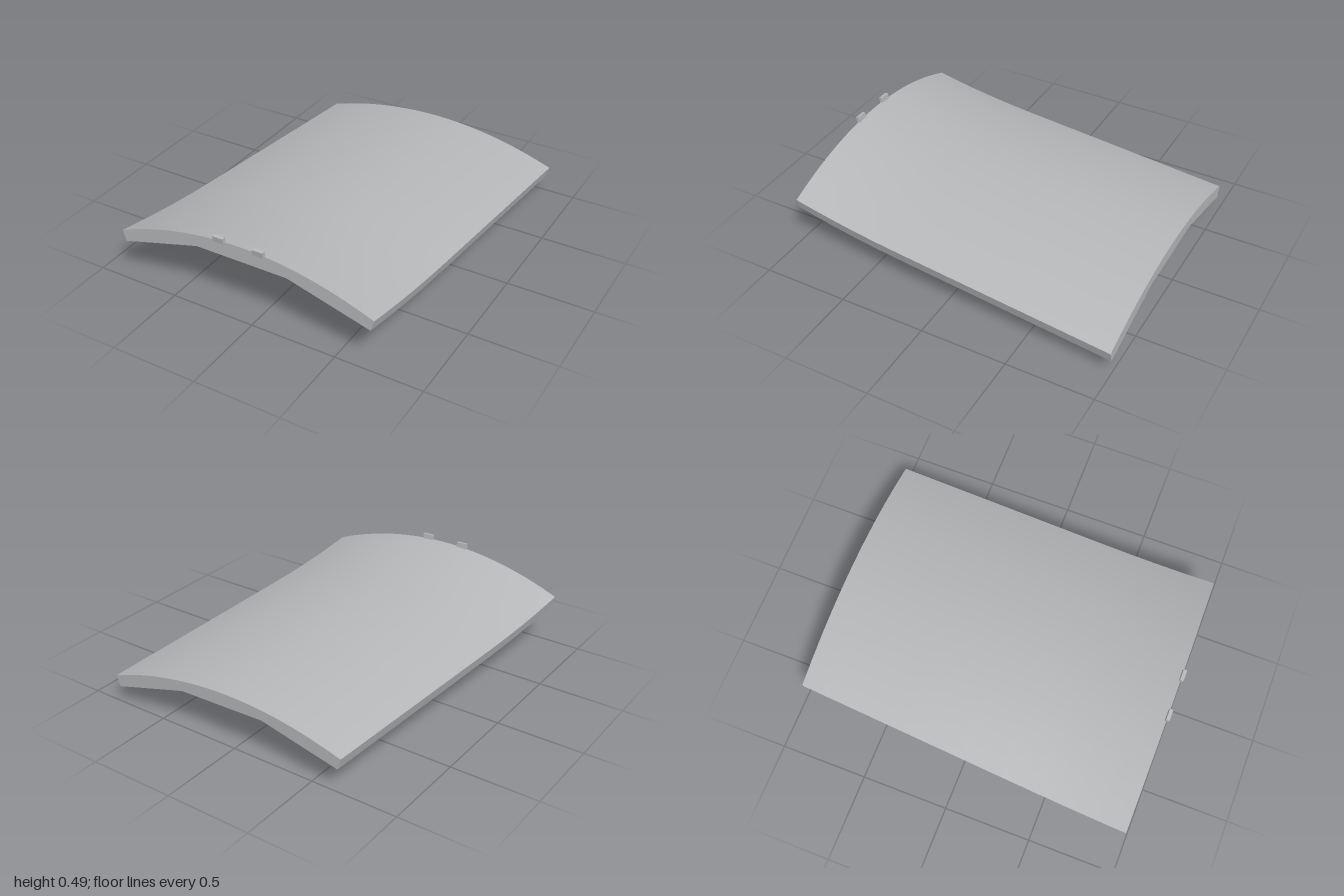
import * as THREE from 'three';

const lerp = THREE.MathUtils.lerp;
const KNOT = 0.355;   // where the underside folds
const DEPTH = 0.045;  // pocket depth
const Z = [0.985, 0.87, 0.75, 0.6, 0.45, 0.25, 0, -0.24, -0.36, -0.87, -1];

// Outer skin: skewed, arched across u (-1..1), drooping along z
function top(u, z) {
  const t = (0.985 - z) / 1.985, f = (u + 1) / 2;
  const right = 0.16 + 0.0533 * (z + 1) + 0.039 * Math.max(0, (z - 0.3) / 0.685) ** 2;
  const left = right + 0.038 * t;
  const sag = lerp(0.16, 0.131, t);
  return new THREE.Vector3(
    lerp(lerp(-0.83, -0.675, t), lerp(0.715, 0.83, t), f),
    lerp(left, right, f) + sag * (1 - u * u), z);
}

// Underside: three flat facets, optionally raised into a pocket
function under(u, z, raise = 0) {
  const t = (0.985 - z) / 1.985;
  const corner = (s) => {
    const edge = Math.abs(s) === 1;
    const p = top(edge ? s * 0.975 : s, z);
    p.y = top(s, z).y - (edge ? 0.065 : lerp(0.07, 0.06, t));
    return p;
  };
  const [a, b] = u < -KNOT ? [-1, -KNOT] : u > KNOT ? [KNOT, 1] : [-KNOT, KNOT];
  const p = corner(a).lerp(corner(b), (u - a) / (b - a));
  p.y += raise;
  return p;
}

// Mesh from a list of quads; flat normals
function quadMesh(name, quads, material) {
  const pos = [];
  for (const [a, b, c, d] of quads) {
    for (const p of [a, b, c, a, c, d]) pos.push(p.x, p.y, p.z);
  }
  const geo = new THREE.BufferGeometry();
  geo.setAttribute('position', new THREE.Float32BufferAttribute(pos, 3));
  geo.computeVertexNormals();
  const mesh = new THREE.Mesh(geo, material);
  mesh.name = name;
  return mesh;
}

export function createModel() {
  const group = new THREE.Group();
  group.name = 'curvedPanel';
  const grey = new THREE.MeshStandardMaterial({ color: 0xb4b6b8 });
  grey.name = 'panel grey';

  // Samples across the panel, including the fold lines
  const U = [];
  const stops = [-1, -KNOT, KNOT, 1];
  for (let k = 0; k < 3; k++) {
    for (let i = 0; i < 10; i++) U.push(lerp(stops[k], stops[k + 1], i / 10));
  }
  U.push(1);

  // Smooth outer skin
  const pos = [], index = [], n = U.length;
  Z.forEach((z) => U.forEach((u) => pos.push(...top(u, z).toArray())));
  for (let j = 0; j < Z.length - 1; j++) {
    for (let i = 0; i < n - 1; i++) {
      const a = j * n + i, b = a + 1, c = b + n, d = a + n;
      index.push(a, b, c, a, c, d);
    }
  }
  const skinGeo = new THREE.BufferGeometry();
  skinGeo.setAttribute('position', new THREE.Float32BufferAttribute(pos, 3));
  skinGeo.setIndex(index);
  skinGeo.computeVertexNormals();
  const skin = new THREE.Mesh(skinGeo, grey);
  skin.name = 'outerSkin';
  group.add(skin);

  // Edges around the panel
  const rim = [];
  for (let i = 0; i < n - 1; i++) {
    const a = U[i], b = U[i + 1], f = Z[0], r = Z[Z.length - 1];
    rim.push([under(a, f), under(b, f), top(b, f), top(a, f)]);
    rim.push([under(b, r), under(a, r), top(a, r), top(b, r)]);
  }
  for (let j = 0; j < Z.length - 1; j++) {
    const f = Z[j], r = Z[j + 1];
    rim.push([under(1, f), under(1, r), top(1, r), top(1, f)]);
    rim.push([under(-1, r), under(-1, f), top(-1, f), top(-1, r)]);
  }
  group.add(quadMesh('rim', rim, grey));

  // Ribbed underside: three columns and two rows of pockets
  const S = [-1, -0.88, -0.43, -KNOT, -0.28, 0.28, KNOT, 0.43, 0.88, 1];
  const pocket = (i, j) => [1, 4, 7].includes(i) && ((j >= 1 && j <= 6) || j === 8);
  const ribs = [], walls = [];
  for (let j = 0; j < Z.length - 1; j++) {
    for (let i = 0; i < S.length - 1; i++) {
      const c = [[S[i], Z[j + 1]], [S[i + 1], Z[j + 1]], [S[i + 1], Z[j]], [S[i], Z[j]]];
      const sunk = pocket(i, j);
      ribs.push(c.map(([u, z]) => under(u, z, sunk ? DEPTH : 0)));
      if (!sunk) continue;
      const next = [[i, j + 1], [i + 1, j], [i, j - 1], [i - 1, j]];
      next.forEach(([ni, nj], k) => {
        if (pocket(ni, nj)) return;
        const a = c[k], b = c[(k + 1) % 4];
        walls.push([under(...a), under(...b), under(...b, DEPTH), under(...a, DEPTH)]);
      });
    }
  }
  group.add(quadMesh('ribbedUnderside', ribs, grey));
  group.add(quadMesh('pocketWalls', walls, grey));

  // Pair of pointed lugs below the cross rib
  const tri = new THREE.Shape([
    new THREE.Vector2(0, 0), new THREE.Vector2(0.17, 0.325), new THREE.Vector2(-0.17, 0.325),
  ]);
  for (const x of [-0.117, -0.007]) {
    const geo = new THREE.ExtrudeGeometry(tri, { depth: 0.014, bevelEnabled: false });
    geo.translate(0, 0, -0.007).rotateY(Math.PI / 2);
    const lug = new THREE.Mesh(geo, grey);
    lug.name = 'lug';
    lug.position.set(x, 0, -0.3);
    group.add(lug);
  }

  // Small tabs on the front edge
  for (const x of [-0.183, 0.057]) {
    const tab = new THREE.Mesh(new THREE.BoxGeometry(0.065, 0.034, 0.02), grey);
    tab.name = 'frontTab';
    tab.position.set(x, 0.472, 0.988);
    tab.rotation.x = 0.15;
    group.add(tab);
  }
  return group;
}
